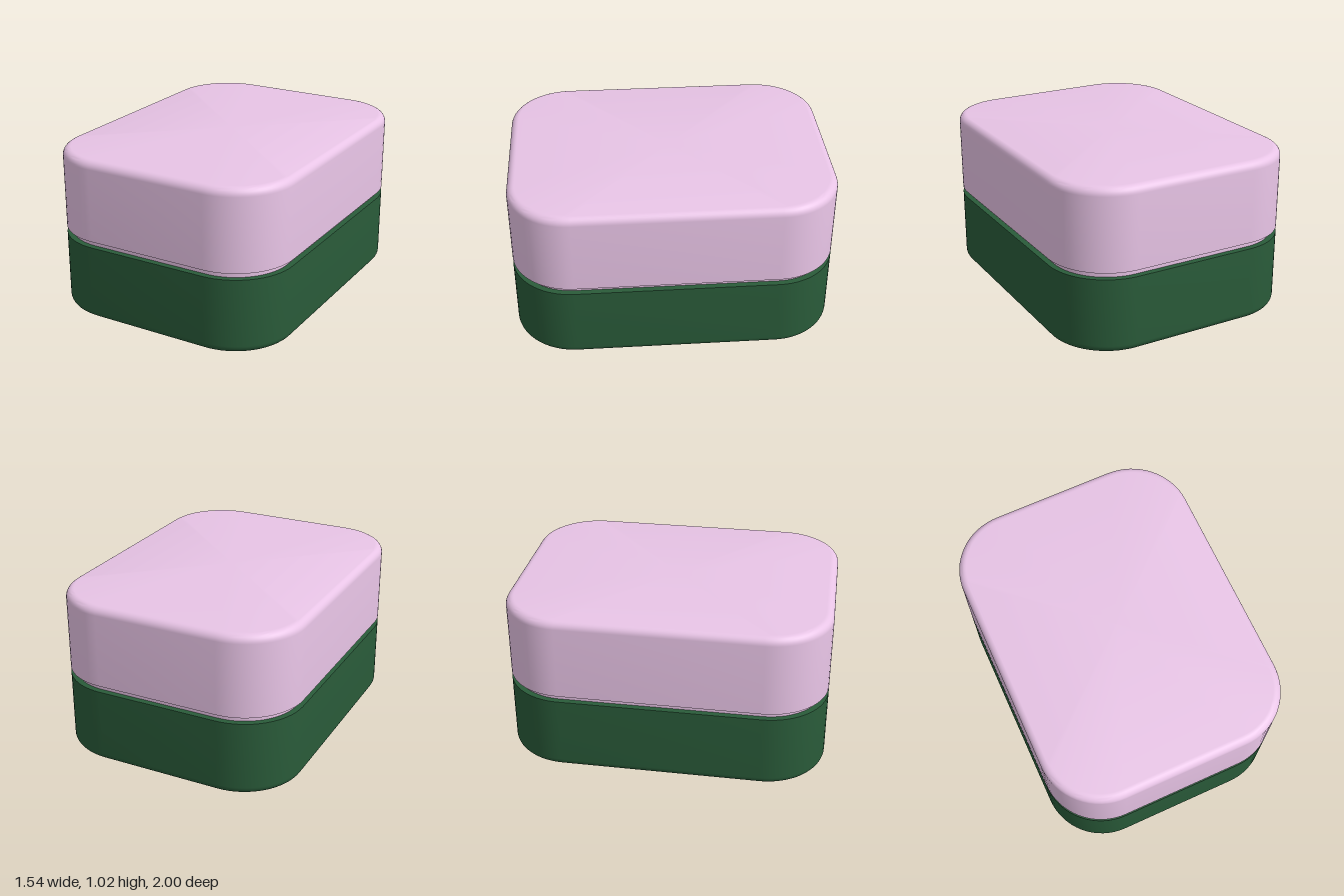
import * as THREE from 'three';
import { toCreasedNormals } from 'three/addons/utils/BufferGeometryUtils.js';

const HALF_X = 0.77, HALF_Z = 1, RADIUS = 0.38, CORNER_STEPS = 16;

// Rounded-rectangle ring, shrunk by an inset, anticlockwise seen from above
function ring(inset, y) {
  const points = [];
  const r = RADIUS - inset;
  for (let corner = 0; corner < 4; corner++) {
    const sx = corner === 0 || corner === 3 ? 1 : -1;
    const sz = corner < 2 ? -1 : 1;
    for (let i = 0; i <= CORNER_STEPS; i++) {
      const a = (corner + i / CORNER_STEPS) * Math.PI / 2;
      points.push(sx * (HALF_X - RADIUS) + r * Math.cos(a), y, sz * (HALF_Z - RADIUS) - r * Math.sin(a));
    }
  }
  return points;
}

// Closed solid through [inset, y] rings listed from bottom to top
function loft(profile) {
  const n = 4 * (CORNER_STEPS + 1);
  const positions = profile.flatMap(([inset, y]) => ring(inset, y));
  const bottom = profile.length * n, top = bottom + 1, last = (profile.length - 1) * n;
  positions.push(0, profile[0][1], 0, 0, profile[profile.length - 1][1], 0);
  const index = [];
  for (let j = 0; j < n; j++) {
    const k = (j + 1) % n;
    for (let row = 0; row < last; row += n) {
      index.push(row + j, row + k, row + n + k, row + j, row + n + k, row + n + j);
    }
    index.push(bottom, k, j, top, last + j, last + k);
  }
  const geometry = new THREE.BufferGeometry();
  geometry.setAttribute('position', new THREE.Float32BufferAttribute(positions, 3));
  geometry.setIndex(index);
  return toCreasedNormals(geometry, 0.7);
}

// Quarter-round edge from the wall (inset 0) to the flat face at faceY
function fillet(r, faceY, direction) {
  return Array.from({ length: 9 }, (_, i) => {
    const a = i / 8 * Math.PI / 2;
    return [r * (1 - Math.cos(a)), faceY - direction * r * (1 - Math.sin(a))];
  });
}

export function createModel() {
  const group = new THREE.Group();
  group.name = 'lunchBox';
  const pink = new THREE.MeshStandardMaterial({ color: 0xe8c4e6 });
  const green = new THREE.MeshStandardMaterial({ color: 0x2a5c3a });
  const add = (name, profile, material) => {
    const mesh = new THREE.Mesh(loft(profile), material);
    mesh.name = name;
    group.add(mesh);
  };

  // Lower tray with a rounded bottom edge
  add('base', [...fillet(0.05, 0, -1).reverse(), [0, 0.475]], green);
  // Recessed band between the two halves
  add('neck', [[0.037, 0.44], [0.037, 0.55]], pink);
  // Upper cover with a rounded top edge
  add('lid', [[0, 0.515], ...fillet(0.05, 1.025, 1)], pink);
  return group;
}
